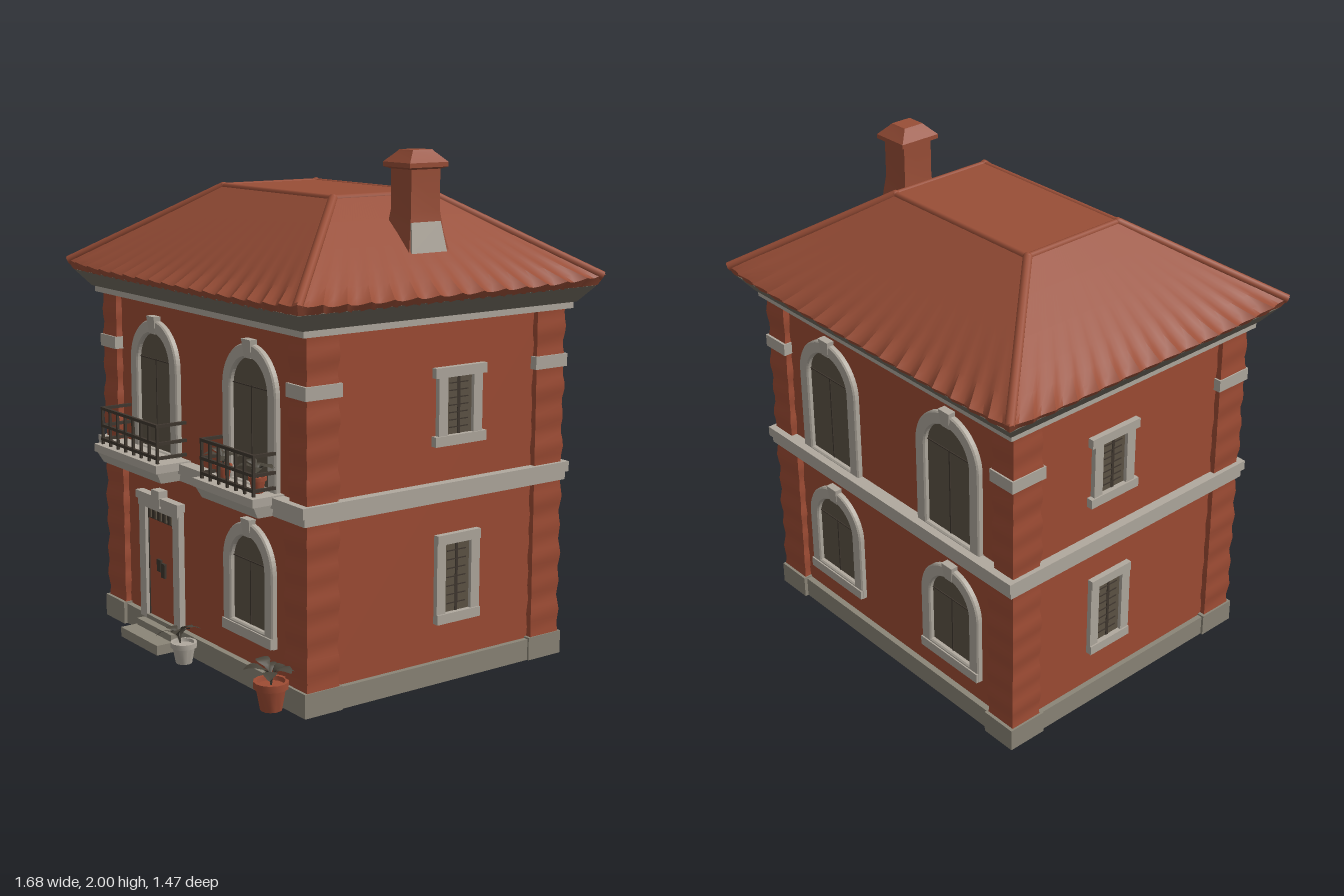
import * as THREE from 'three';
import { toCreasedNormals } from 'three/addons/utils/BufferGeometryUtils.js';

const mat = (name, color, side = THREE.FrontSide) => {
  const m = new THREE.MeshStandardMaterial({ color, side });
  m.name = name;
  return m;
};
const plaster = mat('terracotta plaster', 0x9e4c34);
const tile = mat('roof tile', 0x994e37);
const stone = mat('pale stone', 0xb0a99e);
const baseStone = mat('weathered stone', 0x8b8577);
const eaveStone = mat('eave stone', 0x726c60);
const shutter = mat('shutter wood', 0x5d5345);
const iron = mat('dark iron', 0x3f372f);
const leafMat = mat('leaf', 0x49443a, THREE.DoubleSide);

const CZ = -0.01, WX = 0.707, WZ = 0.578; // house centre depth and wall half sizes

function add(parent, name, geo, material, x = 0, y = 0, z = 0) {
  const m = new THREE.Mesh(geo, material);
  m.name = name;
  m.position.set(x, y, z);
  parent.add(m);
  return m;
}
// box given by its extents
const box = (p, name, m, x0, x1, y0, y1, z0, z1) =>
  add(p, name, new THREE.BoxGeometry(x1 - x0, y1 - y0, z1 - z0), m, (x0 + x1) / 2, (y0 + y1) / 2, (z0 + z1) / 2);
// belt running round the whole house
const belt = (p, name, m, hx, hz, y0, y1) => box(p, name, m, -hx, hx, y0, y1, CZ - hz, CZ + hz);

function group(parent, name, x = 0, y = 0, z = 0, ry = 0) {
  const g = new THREE.Group();
  g.name = name;
  g.position.set(x, y, z);
  g.rotation.y = ry;
  parent.add(g);
  return g;
}

// move the lower corners of a box by a rule
function reshapeBottom(mesh, fn) {
  const p = mesh.geometry.attributes.position;
  for (let i = 0; i < p.count; i++) if (p.getY(i) < 0) {
    const [x, z] = fn(p.getX(i), p.getZ(i));
    p.setX(i, x);
    p.setZ(i, z);
  }
  mesh.geometry.computeVertexNormals();
}

// outline with a half-round top, springing at ys
function archOutline(C, hw, y0, ys) {
  const s = new C();
  s.moveTo(-hw, y0);
  s.lineTo(hw, y0);
  s.lineTo(hw, ys);
  s.absarc(0, ys, hw, 0, Math.PI, false);
  s.lineTo(-hw, y0);
  return s;
}

function archWindow(parent, name, x, z, ry, hw, y0, ys, hasSill) {
  const g = group(parent, name, x, 0, z, ry);
  const fw = 0.042, top = ys + hw;
  const s = archOutline(THREE.Shape, hw + fw, hasSill ? y0 - fw : y0, ys);
  s.holes.push(archOutline(THREE.Path, hw, hasSill ? y0 : y0 + 0.002, ys));
  const frame = new THREE.ExtrudeGeometry(s, { depth: 0.018, bevelSize: 0.005, bevelThickness: 0.006, bevelSegments: 1, curveSegments: 14 });
  add(g, 'archFrame', frame, stone);
  const pane = new THREE.ExtrudeGeometry(archOutline(THREE.Shape, hw, y0, ys), { depth: 0.004, bevelEnabled: false, curveSegments: 14 });
  add(g, 'shutters', pane, shutter);
  box(g, 'shutterGap', iron, -0.003, 0.003, y0, ys + 0.02, 0.004, 0.007);
  box(g, 'transomBar', iron, -hw, hw, ys + 0.015, ys + 0.019, 0.004, 0.008);
  // keystone
  const k = new THREE.CylinderGeometry(0.042, 0.03, 0.07, 4, 1, false, Math.PI / 4);
  add(g, 'keystone', toCreasedNormals(k, 0.5), stone, 0, top + 0.028, 0.002);
  if (hasSill) box(g, 'sill', stone, -hw - 0.046, hw + 0.046, y0 - 0.045, y0 - 0.005, 0, 0.03);
}

function sideWindow(parent, name, side, y0, y1, wide) {
  const g = group(parent, name, side * WX, 0, -0.105, side * Math.PI / 2);
  box(g, 'shutters', shutter, -0.064, 0.064, y0, y1, 0, 0.005);
  box(g, 'shutterGap', iron, -0.006, 0.006, y0, y1, 0.005, 0.008);
  for (let i = 1; i < 8; i++) {
    const y = y0 + (y1 - y0) * i / 8;
    box(g, 'louvre', iron, -0.045, 0.045, y - 0.002, y + 0.002, 0.005, 0.008);
  }
  for (const s of [-1, 1]) box(g, 'jamb', stone, s * 0.083 - 0.021, s * 0.083 + 0.021, y0, y1, 0, 0.02);
  box(g, 'lintel', stone, -wide, wide, y1 - 0.002, y1 + 0.036, 0, 0.024);
  box(g, 'sill', stone, -wide, wide, y0 - 0.036, y0 + 0.002, 0, 0.026);
}

function balcony(parent, x0, x1, zOut) {
  const g = group(parent, 'balcony');
  box(g, 'slab', stone, x0 - 0.03, x1 + 0.03, 0.755, 0.787, 0.55, zOut + 0.025);
  const under = box(g, 'slabMoulding', stone, x0 - 0.025, x1 + 0.025, 0.71, 0.757, 0.55, zOut + 0.018);
  reshapeBottom(under, (x, z) => [x * 0.95, z > 0 ? z - 0.025 : z]);
  const t = 0.006;
  for (const y of [0.808, 0.865, 0.935]) {
    box(g, 'frontRail', iron, x0 - t, x1 + t, y - t, y + t, zOut - t, zOut + t);
    for (const x of [x0, x1]) box(g, 'sideRail', iron, x - t, x + t, y - t, y + t, 0.57, zOut);
  }
  const n = Math.round((x1 - x0) / 0.06);
  for (let i = 0; i <= n; i++) {
    const x = x0 + (x1 - x0) * i / n;
    box(g, 'baluster', iron, x - 0.005, x + 0.005, 0.785, 0.935, zOut - 0.005, zOut + 0.005);
  }
}

function pottedPlant(parent, x, y, z, r, h, reach, material, lean = 0) {
  const g = group(parent, 'pottedPlant', x, y, z);
  const pts = [[0, 0], [r * 0.62, 0], [r * 0.85, h * 0.75], [r, h * 0.76], [r, h], [r * 0.8, h], [r * 0.75, h * 0.85], [0, h * 0.85]];
  add(g, 'pot', toCreasedNormals(new THREE.LatheGeometry(pts.map(p => new THREE.Vector2(...p)), 14), 0.6), material);
  for (let i = 0; i < 8; i++) {
    const len = reach * (0.8 + 0.3 * Math.abs(Math.sin(i * 2.3)));
    const leaf = new THREE.PlaneGeometry(1, 1, 2, 7);
    const p = leaf.attributes.position;
    const out = 0.35 + 0.35 * Math.abs(Math.sin(i * 1.7));
    for (let k = 0; k < p.count; k++) { // thin stem ending in a broad drooping blade
      const t = p.getY(k) + 0.5, w = p.getX(k) * len * (0.07 + 0.5 * Math.sin(Math.PI * Math.max(0, t - 0.35) / 0.65));
      p.setXYZ(k, w, len * (2 * t - (0.8 + out) * t * t), len * out * t * (0.5 + t) + Math.abs(w) * 0.3);
    }
    leaf.rotateY(i * 2.4);
    leaf.translate(0, h * 0.85, 0);
    leaf.computeVertexNormals();
    add(g, 'leaf', leaf, leafMat).rotation.z = lean;
  }
}

// hipped roof built from rectangular rings, wavy only near the eaves
function roofGeometry() {
  const rings = [[0.76, 0.65, 1.468, 0, 0], [0.81, 0.695, 1.472, 0.02, 0.6]]; // half x, half z, y, wave, corner lift
  for (const t of [0, 0.06, 0.16, 0.3, 0.5, 0.75, 1])
    rings.push([0.832 - 0.455 * t, 0.715 - 0.488 * t, 1.498 + 0.33 * t, 0.02 * Math.max(0, 1 - t * 1.6) ** 4, 1 - t]);
  const corners = [[1, 1], [1, -1], [-1, -1], [-1, 1]], pos = [], idx = [];
  let n = 0;
  rings.forEach(([hx, hz, y, amp, edge]) => {
    const cz = CZ + (1 - edge) * (hx < 0.7 ? 0.01 : 0);
    n = 0;
    corners.forEach(([ax, az], k) => {
      const [bx, bz] = corners[(k + 1) % 4], bumps = k % 2 ? 17 : 14, steps = bumps * 4;
      const nx = (ax + bx) / 2, nz = (az + bz) / 2;
      for (let i = 0; i < steps; i++, n++) {
        const s = i / steps, w = i ? amp * (0.45 - Math.abs(Math.sin(Math.PI * s * bumps))) : 0;
        const up = 0.02 * edge ** 3 * Math.abs(2 * s - 1) ** 6;
        pos.push((ax + (bx - ax) * s) * hx + nx * w, y + w * 0.6 + up, cz + (az + (bz - az) * s) * hz + nz * w);
      }
    });
  });
  for (let r = 0; r + 1 < rings.length; r++) for (let i = 0; i < n; i++) {
    const a = r * n + i, b = r * n + (i + 1) % n;
    idx.push(a, b, b + n, a, b + n, a + n);
  }
  const last = (rings.length - 1) * n, centre = pos.length / 3;
  pos.push(0, 1.828, 0);
  for (let i = 0; i < n; i++) idx.push(last + i, last + (i + 1) % n, centre);
  const g = new THREE.BufferGeometry();
  g.setAttribute('position', new THREE.Float32BufferAttribute(pos, 3));
  g.setIndex(idx);
  return toCreasedNormals(g, 0.5);
}

// one storey of a corner pier with uneven faces, flush with the outer corner
function pierStorey(parent, sx, sz, width, y0, y1) {
  const geo = new THREE.BoxGeometry(width, y1 - y0, 0.14, 1, 24, 1), p = geo.attributes.position;
  for (let i = 0; i < p.count; i++) {
    const y = p.getY(i), d = 0.003 * Math.sin(y * 55 + y0) + 0.0015 * Math.sin(y * 23 + sx);
    p.setX(i, p.getX(i) + Math.sign(p.getX(i)) * d);
    p.setZ(i, p.getZ(i) + Math.sign(p.getZ(i)) * d);
  }
  geo.computeVertexNormals();
  add(parent, 'pier', geo, plaster, sx * (0.73 - width / 2), (y0 + y1) / 2, CZ + sz * 0.535);
}

export function createModel() {
  const house = new THREE.Group();
  house.name = 'townhouse';

  // walls and stone courses
  belt(house, 'walls', plaster, WX, WZ, 0.02, 1.45);
  belt(house, 'plinth', baseStone, 0.728, 0.603, 0, 0.085);
  belt(house, 'beltCourseLower', stone, 0.737, 0.62, 0.71, 0.745);
  belt(house, 'beltCourseUpper', stone, 0.745, 0.632, 0.742, 0.782);
  belt(house, 'corniceBand', stone, 0.748, 0.63, 1.385, 1.412);
  const eaves = belt(house, 'eaves', eaveStone, 0.808, 0.692, 1.41, 1.474);
  reshapeBottom(eaves, (x, z) => [x * 0.935, z * 0.925]);

  // corner piers with bands and feet
  for (const sx of [-1, 1]) for (const sz of [-1, 1]) {
    const g = group(house, 'cornerPier');
    pierStorey(g, sx, sz, 0.14, 0.04, 0.73);
    pierStorey(g, sx, sz, 0.11, 0.73, 1.4);
    const foot = group(g, 'pierTrim', sx * 0.66, 0, CZ + sz * 0.535);
    const inner = 0.045, x0 = sx > 0 ? -inner : -0.078, x1 = sx > 0 ? 0.078 : inner;
    box(foot, 'pierBand', stone, x0, x1, 1.16, 1.21, -0.08, 0.08);
    box(foot, 'pierFoot', baseStone, -0.078, 0.076, 0, 0.092, -0.083, 0.083);
  }

  // windows
  const front = CZ + WZ, back = CZ - WZ;
  for (const x of [-0.338, 0.35]) archWindow(house, 'frontUpperWindow', x, front, 0, 0.13, 0.785, 1.135, false);
  archWindow(house, 'frontLowerWindow', 0.333, front, 0, 0.12, 0.235, 0.47, true);
  for (const x of [-0.36, 0.36]) {
    archWindow(house, 'backUpperWindow', x, back, Math.PI, 0.13, 0.785, 1.135, false);
    archWindow(house, 'backLowerWindow', x, back, Math.PI, 0.12, 0.235, 0.47, true);
  }
  for (const s of [-1, 1]) {
    sideWindow(house, 'sideUpperWindow', s, 0.955, 1.178, 0.122);
    sideWindow(house, 'sideLowerWindow', s, 0.268, 0.542, 0.104);
  }

  // front door
  const door = group(house, 'frontDoor', -0.31, 0, front);
  box(door, 'doorPanel', plaster, -0.108, 0.108, 0.06, 0.5, 0, 0.008);
  for (const s of [-1, 1]) {
    box(door, 'doorShadowGap', iron, s * 0.106 - 0.003, s * 0.106 + 0.003, 0.07, 0.5, 0.008, 0.011);
    box(door, 'doorJamb', stone, s * 0.132 - 0.024, s * 0.132 + 0.024, 0.07, 0.55, 0, 0.026);
  }
  box(door, 'transomGrille', iron, -0.108, 0.108, 0.495, 0.548, 0, 0.012);
  for (let i = -2; i <= 2; i++) box(door, 'grilleBar', shutter, i * 0.04 - 0.006, i * 0.04 + 0.006, 0.5, 0.54, 0.012, 0.018);
  box(door, 'doorLintel', stone, -0.155, 0.155, 0.542, 0.58, 0, 0.03);
  box(door, 'doorHood', stone, -0.165, 0.165, 0.57, 0.602, 0, 0.036);
  box(door, 'doorKeystone', stone, -0.03, 0.03, 0.56, 0.63, 0, 0.04);
  box(door, 'knocker', iron, -0.034, -0.004, 0.285, 0.335, 0.008, 0.018);
  box(door, 'doorHandle', iron, 0, 0.026, 0.265, 0.325, 0.008, 0.018);
  box(door, 'upperStep', baseStone, -0.13, 0.14, 0, 0.068, 0, 0.06);
  box(door, 'lowerStep', baseStone, -0.14, 0.15, 0, 0.04, 0, 0.13);

  // balconies and plants
  balcony(house, -0.56, -0.125, 0.7);
  balcony(house, 0.17, 0.52, 0.68);
  for (const x of [0.24, 0.47]) pottedPlant(house, x, 0.787, 0.63, 0.034, 0.06, 0.075, plaster);
  pottedPlant(house, 0.58, 0, 0.65, 0.066, 0.11, 0.1, plaster);
  pottedPlant(house, -0.033, 0, 0.65, 0.052, 0.085, 0.085, stone, 0.35);

  // roof with ridge caps
  add(house, 'roof', roofGeometry(), tile);
  const top = [[1, 1], [1, -1], [-1, -1], [-1, 1]].map(([x, z]) => new THREE.Vector3(x * 0.375, 1.819, z * 0.227));
  top.forEach((v, i) => {
    const foot = new THREE.Vector3(Math.sign(v.x) * 0.825, 1.51, CZ + Math.sign(v.z) * 0.708);
    add(house, 'hipCap', new THREE.TubeGeometry(new THREE.LineCurve3(v, foot), 1, 0.018, 10), tile);
    add(house, 'ridgeCap', new THREE.TubeGeometry(new THREE.LineCurve3(v, top[(i + 1) % 4]), 1, 0.014, 10), tile);
    add(house, 'capEnd', new THREE.SphereGeometry(0.018, 10, 8), tile, v.x, v.y, v.z);
  });

  // chimney: profile turned in four sides, with stone flashing on the low side
  const profile = [[0.09, 1.6], [0.07, 1.7], [0.06, 1.78], [0.06, 1.93], [0.08, 1.938], [0.08, 1.955], [0.046, 1.992], [0.04, 2], [0, 2]];
  const stack = new THREE.LatheGeometry(profile.map(([r, y]) => new THREE.Vector2(r * Math.SQRT2, y)), 4, Math.PI / 4);
  add(house, 'chimney', toCreasedNormals(stack, 0.4), tile, 0.56, 0, -0.012).scale.z = 1.12;
  const flashing = box(house, 'chimneyFlashing', stone, 0.605, 0.63, 1.63, 1.74, -0.076, 0.06);
  reshapeBottom(flashing, (x, z) => [x > 0 ? x + 0.022 : x, z * 1.2]);
  return house;
}
